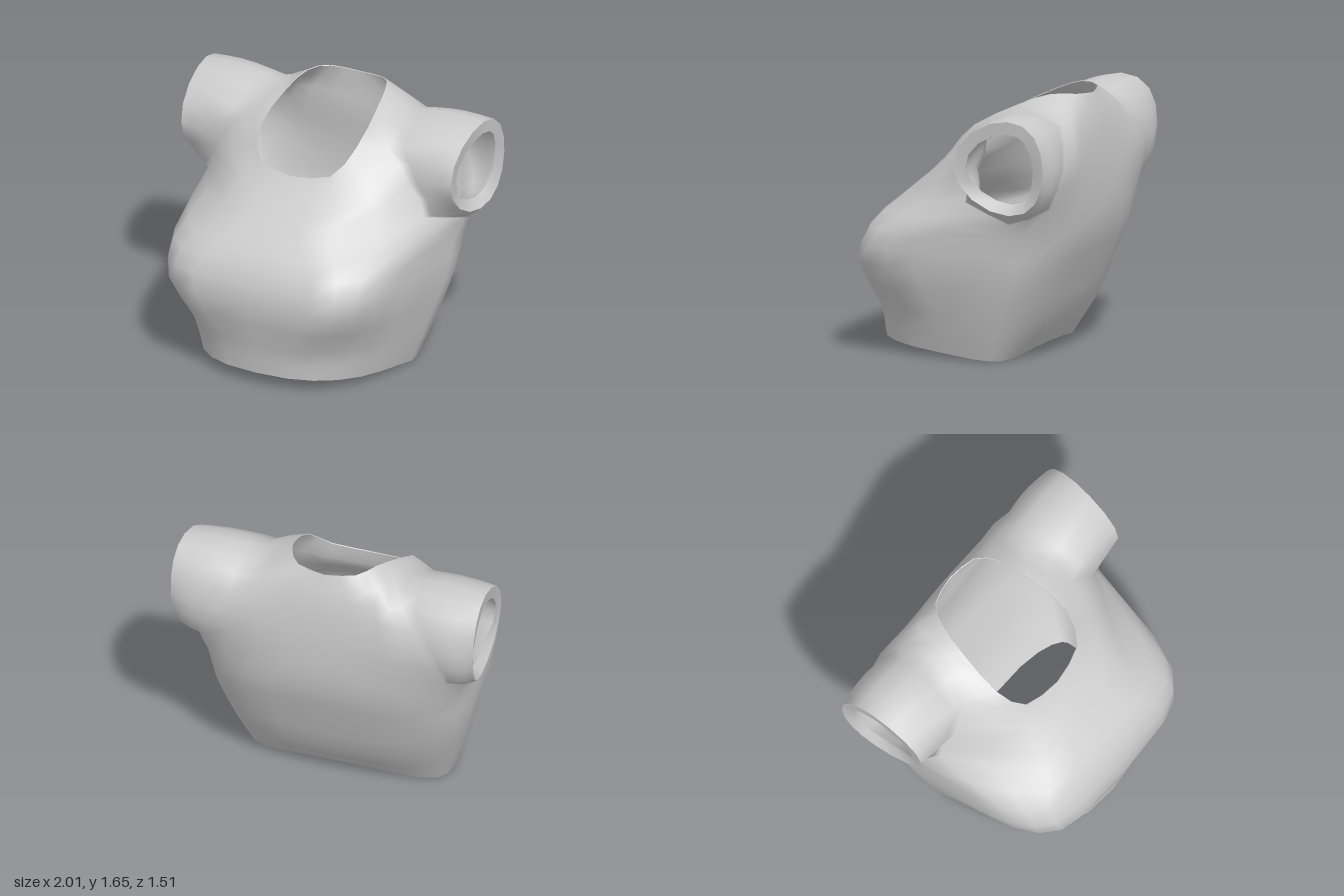
import * as THREE from 'three';

const HALF = 12, COLS = HALF * 2;      // columns around the torso
const STEP = 2;                        // subdivisions between control rows
const ARM = { c0: 4, c1: 8, r0: 4 * STEP, r1: 6 * STEP }; // armhole block in the grid
const SLEEVE_STEPS = 5, THICK = 0.09;
const V = (x, y, z) => new THREE.Vector3(x, y, z);

// Rounded torso section; returns half a ring from centre front to centre back.
// ef and eb set how boxy the front and back are, bust swells the front, arch lifts the centre back.
function ovalRow({ yf, yb, hw, zf, zb, zm, ef, eb, bust = 0, arch = 0 }) {
  return Array.from({ length: HALF + 1 }, (_, c) => {
    const a = Math.PI * c / HALF, cos = Math.cos(a), front = cos > 0;
    const e = front ? ef : eb, k = Math.abs(cos) ** e;
    const z = front ? zm + k * (zf - zm) : zm + k * (zb - zm);
    const taper = front ? 1 - 0.05 * THREE.MathUtils.smoothstep(k, 0, 0.3) : 1;
    return V(hw * taper * Math.abs(Math.sin(a)) ** e,
      yb + (yf - yb) * (z - zb) / (zf - zb) + arch * Math.max(0, -cos) ** 4,
      z + bust * Math.exp(-(((c - 2.3) / 1.2) ** 2)));
  });
}

// Half ring through seven control points
function splineRow(...pts) {
  const curve = new THREE.CatmullRomCurve3(pts.map(p => V(...p)), false, 'catmullrom', 0.5);
  return Array.from({ length: HALF + 1 }, (_, c) => curve.getPoint(c / HALF));
}

const rows = [
  // hem, under the bust, bust, upper bust
  ovalRow({ yf: 0.075, yb: -0.022, hw: 0.67, zf: 0.66, zb: -0.375, zm: -0.12, ef: 0.8, eb: 0.7, arch: 0.057 }),
  ovalRow({ yf: 0.28, yb: 0.24, hw: 0.755, zf: 0.69, zb: -0.53, zm: -0.16, ef: 0.8, eb: 0.68 }),
  ovalRow({ yf: 0.56, yb: 0.53, hw: 0.825, zf: 0.745, zb: -0.645, zm: -0.28, ef: 0.5, eb: 0.66, bust: 0.022 }),
  ovalRow({ yf: 0.79, yb: 0.77, hw: 0.85, zf: 0.68, zb: -0.73, zm: -0.34, ef: 0.53, eb: 0.66, bust: 0.012 }),
  splineRow([0, 0.94, 0.52], [0.43, 0.95, 0.47], [0.775, 1.01, -0.1], [0.88, 0.9, -0.43],
    [0.8, 1.0, -0.675], [0.42, 1.0, -0.745], [0, 1.0, -0.75]),  // armpit
  splineRow([0, 1.1, 0.35], [0.36, 1.11, 0.3], [0.68, 1.23, -0.07], [0.93, 1.2, -0.42],
    [0.7, 1.24, -0.735], [0.4, 1.25, -0.745], [0, 1.25, -0.74]), // mid armhole
  splineRow([0, 1.18, 0.265], [0.29, 1.2, 0.22], [0.52, 1.42, -0.1], [0.47, 1.56, -0.42],
    [0.5, 1.48, -0.645], [0.34, 1.48, -0.695], [0, 1.45, -0.715]), // yoke
  splineRow([0, 1.24, 0.21], [0.25, 1.275, 0.165], [0.345, 1.43, 0.0], [0.325, 1.57, -0.28],
    [0.28, 1.64, -0.48], [0.19, 1.635, -0.62], [0, 1.62, -0.66]), // neckline
];

function makeGeometry(points, index) {
  const g = new THREE.BufferGeometry().setFromPoints(points);
  g.setIndex(index);
  g.computeVertexNormals();
  return g;
}

function buildShell() {
  const points = [], thick = [], index = [];
  const quad = (a, b, c, d, flip) =>
    flip ? index.push(a, c, b, a, d, c) : index.push(a, b, c, a, c, d);
  const id = (r, c) => r * COLS + (c + COLS) % COLS;
  const nRows = (rows.length - 1) * STEP + 1;

  // Torso grid, mirrored across x
  const columns = rows[0].map((_, c) => new THREE.CatmullRomCurve3(
    rows.map(row => row[c]), false, 'catmullrom', 0.5));
  for (let r = 0; r < nRows; r++) {
    for (let c = 0; c < COLS; c++) {
      const p = columns[c <= HALF ? c : COLS - c].getPoint(r / (nRows - 1));
      if (c > HALF) p.x *= -1;
      if (c % HALF === 0) p.x = 0;
      points.push(p);
      // the cloth thins out towards the neckline
      thick.push(THICK * Math.min(1, 0.06 + (nRows - 1 - r) / (STEP * 1.5)));
    }
  }
  for (let r = 0; r < nRows - 1; r++) {
    for (let c = 0; c < COLS; c++) {
      const h = c < HALF ? c : COLS - 1 - c;
      if (r >= ARM.r0 && r < ARM.r1 && h >= ARM.c0 && h < ARM.c1) continue;
      quad(id(r, c), id(r, c + 1), id(r + 1, c + 1), id(r + 1, c));
    }
  }

  // Sleeves grow from the edge of each armhole to a round cuff
  const cuffs = [1, -1].map(side => {
    const edge = [];
    const add = (r, c) => edge.push(id(r, side * c));
    for (let c = ARM.c0; c < ARM.c1; c++) add(ARM.r0, c);
    for (let r = ARM.r0; r < ARM.r1; r++) add(r, ARM.c1);
    for (let c = ARM.c1; c > ARM.c0; c--) add(ARM.r1, c);
    for (let r = ARM.r1; r > ARM.r0; r--) add(r, ARM.c0);
    const n = edge.length;
    let prev = edge;
    for (let s = 1; s <= SLEEVE_STEPS; s++) {
      const t = s / SLEEVE_STEPS, ring = [];
      for (let k = 0; k < n; k++) {
        const a = -Math.PI / 4 - 2 * Math.PI * k / n, sin = Math.sin(a), cos = Math.cos(a);
        const cuff = V(side * (0.985 + 0.013 * sin - 0.018 * cos),
          1.275 + 0.3 * sin, -0.4 + 0.305 * cos - 0.065 * sin * sin);
        const p = points[edge[k]].clone().lerp(cuff, t);
        // slight fullness over the top and back
        const swell = 0.022 * Math.sin(Math.PI * t);
        p.y += swell * Math.max(0, sin);
        p.z += swell * Math.min(0, cos);
        ring.push(points.push(p) - 1);
        thick.push(THICK * 0.9);
      }
      for (let k = 0; k < n; k++) {
        const m = (k + 1) % n;
        quad(prev[k], prev[m], ring[m], ring[k], side < 0);
      }
      prev = ring;
    }
    return prev;
  });

  const loop = r => Array.from({ length: COLS }, (_, c) => id(r, c));
  return { points, thick, index, cuffs, hem: loop(0), neck: loop(nRows - 1) };
}

export function createModel() {
  const group = new THREE.Group();
  group.name = 'croppedTop';
  const material = new THREE.MeshStandardMaterial({ color: 0xcccccc });
  const addMesh = (name, geometry) => {
    const mesh = new THREE.Mesh(geometry, material);
    mesh.name = name;
    group.add(mesh);
  };

  // Outer cloth
  const { points, thick, index, cuffs, hem, neck } = buildShell();
  const outer = makeGeometry(points, index);
  addMesh('outerCloth', outer);

  // Lining: the outer cloth pushed inwards and turned inside out
  const normals = outer.attributes.normal;
  const inner = points.map((p, i) =>
    p.clone().addScaledVector(V(0, 0, 0).fromBufferAttribute(normals, i), -thick[i]));
  const turned = [];
  for (let i = 0; i < index.length; i += 3) turned.push(index[i], index[i + 2], index[i + 1]);
  addMesh('lining', makeGeometry(inner, turned));

  // Flat rims closing the cloth at each opening
  const addRim = (name, loop, flip) => {
    const n = loop.length, idx = [];
    for (let k = 0; k < n; k++) {
      const m = (k + 1) % n;
      if (flip) idx.push(k, n + m, m, k, n + k, n + m);
      else idx.push(k, m, n + m, k, n + m, n + k);
    }
    addMesh(name, makeGeometry([...loop.map(i => points[i]), ...loop.map(i => inner[i])], idx));
  };
  addRim('hemRim', hem, true);
  addRim('neckRim', neck, false);
  addRim('leftCuffRim', cuffs[0], false);
  addRim('rightCuffRim', cuffs[1], true);
  return group;
}
